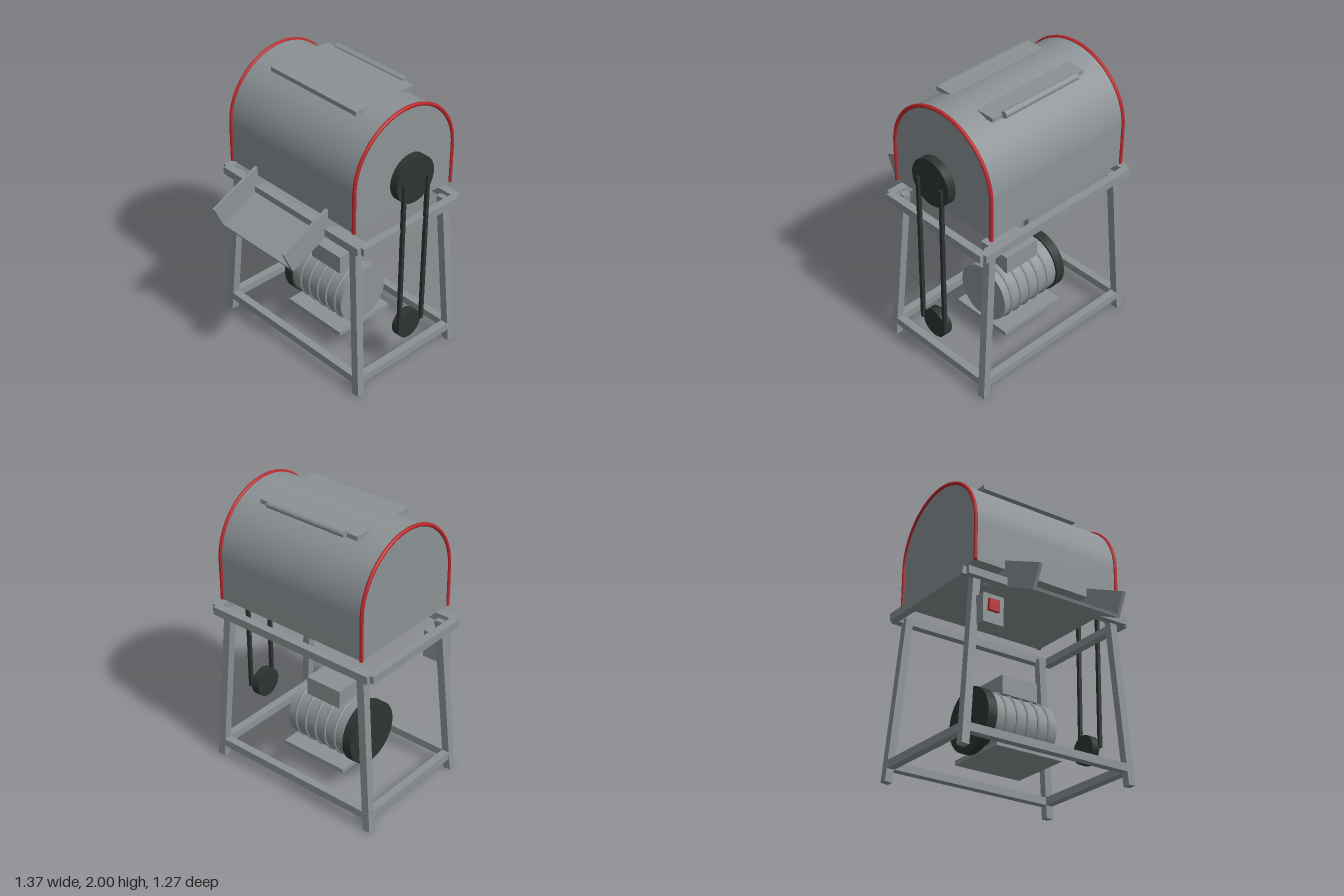
import * as THREE from 'three';
import { toCreasedNormals } from 'three/addons/utils/BufferGeometryUtils.js';

const CX = -0.012, CZ = -0.172;   // centre of frame and drum
const DRUM_R = 0.433, ARC_Y = 1.554, DRUM_BOTTOM = 1.267;
const SHAFT_Y = 1.517, MOTOR_Y = 0.377;

export function createModel() {
  const root = new THREE.Group();
  root.name = 'drumMachine';
  const material = (name, color) => {
    const m = new THREE.MeshStandardMaterial({ color });
    m.name = name;
    return m;
  };
  const steel = material('steelGrey', 0x8c9295);
  const red = material('signalRed', 0xb8292c);
  const black = material('rubberBlack', 0x2d3432);

  const add = (name, geometry, mat, x = 0, y = 0, z = 0, parent = root) => {
    const mesh = new THREE.Mesh(geometry, mat);
    mesh.name = name;
    mesh.position.set(x, y, z);
    parent.add(mesh);
    return mesh;
  };
  // Box given by its lower and upper limits on each axis
  const box = (name, mat, [x0, x1], [y0, y1], [z0, z1], parent = root) =>
    add(name, new THREE.BoxGeometry(x1 - x0, y1 - y0, z1 - z0), mat,
      (x0 + x1) / 2, (y0 + y1) / 2, (z0 + z1) / 2, parent);
  // Cylinder lying along x
  const axle = (name, mat, r, x0, x1, y, z) =>
    add(name, new THREE.CylinderGeometry(r, r, x1 - x0, 48).rotateZ(Math.PI / 2),
      mat, (x0 + x1) / 2, y, z);
  // Square bar between two points
  const beam = (name, a, b, size = 0.055) => {
    const dir = b.clone().sub(a);
    const mid = a.clone().add(b).multiplyScalar(0.5);
    const mesh = add(name, new THREE.BoxGeometry(size, dir.length(), size), steel, mid.x, mid.y, mid.z);
    mesh.quaternion.setFromUnitVectors(new THREE.Vector3(0, 1, 0), dir.normalize());
  };
  const at = (sx, sz, halfX, halfZ, y) => new THREE.Vector3(CX + sx * halfX, y, CZ + sz * halfZ);

  // Stand: splayed legs and two rings of rails that meet at their centre lines
  for (const sx of [-1, 1]) for (const sz of [-1, 1]) {
    beam('leg', at(sx, sz, 0.645, 0.434, 0.005), at(sx, sz, 0.555, 0.395, 1.165));
  }
  for (const [name, hx, hz, y] of [['upperRail', 0.645, 0.434, 1.167], ['lowerRail', 0.635, 0.43, 0.12]]) {
    for (const s of [-1, 1]) {
      box(name, steel, [CX - hx, CX + hx], [y - 0.0275, y + 0.0275],
        [CZ + s * hz - 0.0275, CZ + s * hz + 0.0275]);
      box(name, steel, [CX + s * hx - 0.0275, CX + s * hx + 0.0275], [y - 0.0275, y + 0.0275],
        [CZ - hz, CZ + hz]);
    }
  }

  // Drum housing: arched section extruded along x
  const X0 = -0.59, X1 = 0.567;
  const arch = new THREE.Shape();
  arch.moveTo(-DRUM_R, DRUM_BOTTOM);
  arch.lineTo(DRUM_R, DRUM_BOTTOM);
  arch.lineTo(DRUM_R, ARC_Y);
  arch.absarc(0, ARC_Y, DRUM_R, 0, Math.PI, false);
  arch.closePath();
  const housing = new THREE.ExtrudeGeometry(arch, { depth: X1 - X0, bevelEnabled: false, curveSegments: 48 });
  housing.rotateY(Math.PI / 2);
  add('drumHousing', toCreasedNormals(housing, 0.5), steel, X0, 0, CZ);

  // Red trim around both ends of the housing
  const path = [];
  for (const y of [1.267, 1.36, 1.46]) path.push(new THREE.Vector3(0, y, DRUM_R));
  for (let i = 0; i <= 24; i++) {
    const a = i / 24 * Math.PI;
    path.push(new THREE.Vector3(0, ARC_Y + DRUM_R * Math.sin(a), DRUM_R * Math.cos(a)));
  }
  for (const y of [1.46, 1.36, 1.267]) path.push(new THREE.Vector3(0, y, -DRUM_R));
  const trim = new THREE.TubeGeometry(new THREE.CatmullRomCurve3(path), 90, 0.013, 10);
  for (const x of [X0, X1]) {
    add('endTrim', trim, red, x, 0, CZ);
    for (const s of [-1, 1]) {
      add('trimCap', new THREE.CircleGeometry(0.013, 10).rotateX(Math.PI / 2), red, x, 1.267, CZ + s * DRUM_R);
    }
  }

  // Lid let into the top of the drum, with its round handle
  box('lid', steel, [-0.402, 0.378], [1.943, 1.973], [-0.42, 0.071]);
  axle('lidHandle', steel, 0.024, -0.322, 0.298, 1.968, -0.432);

  // Sloping discharge chute with side boards
  const chute = new THREE.Group();
  chute.name = 'chute';
  chute.position.set(CX, 1.003, 0.56);
  chute.rotation.x = 0.43;
  root.add(chute);
  box('chuteFloor', steel, [-0.335, 0.335], [0, 0.02], [-0.7, 0], chute);
  for (const s of [-1, 1]) {
    add('chuteSide', new THREE.BoxGeometry(0.024, 0.173, 0.7), steel, s * 0.336, 0.0865, -0.35, chute);
  }

  // Motor with cooling ribs, fan cover, terminal box and base plate
  axle('motorBody', steel, 0.207, -0.257, 0.223, MOTOR_Y, CZ);
  for (let i = 0; i < 5; i++) {
    add('motorRib', new THREE.TorusGeometry(0.207, 0.01, 8, 48).rotateY(Math.PI / 2), steel,
      -0.177 + i * 0.084, MOTOR_Y, CZ);
  }
  axle('fanCover', black, 0.221, -0.327, -0.257, MOTOR_Y, CZ);
  box('terminalBox', steel, [-0.154, 0.127], [0.56, 0.692], [CZ - 0.125, CZ + 0.125]);
  box('motorBase', steel, [-0.27, 0.244], [0.148, 0.18], [CZ - 0.235, CZ + 0.235]);

  // Belt drive on the left side
  axle('drumPulley', black, 0.164, 0.605, 0.665, SHAFT_Y, CZ);
  axle('motorPulley', black, 0.103, 0.605, 0.665, MOTOR_Y, CZ);
  for (const s of [-1, 1]) {
    box('belt', black, [0.657, 0.681], [MOTOR_Y, SHAFT_Y], [CZ + s * 0.104 - 0.012, CZ + s * 0.104 + 0.012]);
  }

  // Switch box with red button
  box('switchBox', steel, [-0.575, -0.418], [0.814, 1.014], [0.25, 0.333]);
  box('switchButton', red, [-0.54, -0.46], [0.894, 0.975], [0.333, 0.352]);

  return root;
}
